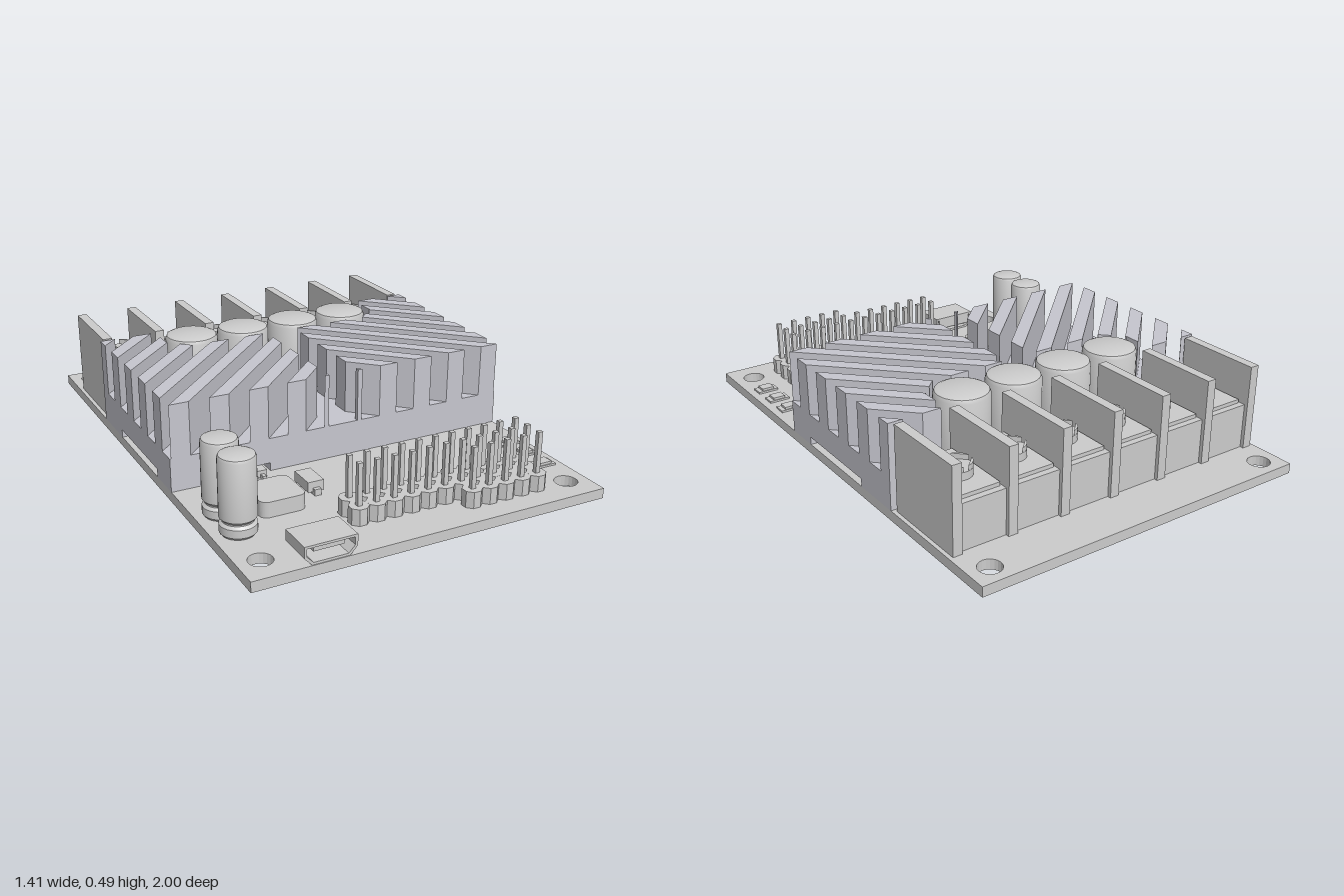
import * as THREE from 'three';
import { toCreasedNormals } from 'three/addons/utils/BufferGeometryUtils.js';

const grey = new THREE.MeshStandardMaterial({ color: 0xcccccc });
const alloy = new THREE.MeshStandardMaterial({ color: 0xc6c6ce });

export function createModel() {
  const root = new THREE.Group();
  const TOP = 0.14, UNDER = 0.10;

  const add = (name, geo, mat = grey, parent = root) => {
    const m = new THREE.Mesh(geo, mat);
    m.name = name;
    parent.add(m);
    return m;
  };
  const group = (name) => {
    const g = new THREE.Group();
    g.name = name;
    root.add(g);
    return g;
  };
  // Box given by its min and max on each axis
  const box = (name, x0, x1, y0, y1, z0, z1, parent = root, mat = grey) =>
    add(name, new THREE.BoxGeometry(x1 - x0, y1 - y0, z1 - z0)
      .translate((x0 + x1) / 2, (y0 + y1) / 2, (z0 + z1) / 2), mat, parent);
  // Shape drawn in plan (shape y = -z), raised from y0 to y1
  const slab = (shape, y0, y1) =>
    new THREE.ExtrudeGeometry(shape, { depth: y1 - y0, bevelEnabled: false, curveSegments: 10 })
      .rotateX(-Math.PI / 2).translate(0, y0, 0);
  const plan = (pts) => new THREE.Shape(pts.map(([x, z]) => new THREE.Vector2(x, -z)));
  const lathe = (pts, x, z) => toCreasedNormals(
    new THREE.LatheGeometry(pts.map(([r, y]) => new THREE.Vector2(r, y)), 32), 0.6).translate(x, 0, z);

  // Circuit board with corner holes and heatsink holes
  const outline = plan([[-0.705, 1], [0.705, 1], [0.705, -1], [-0.705, -1]]);
  for (const s of [-1, 1])
    for (const [x, z, r] of [[0.62, -0.92, 0.044], [0.62, 0.89, 0.044], [0.59, -0.32, 0.034], [0.59, 0.22, 0.034]])
      outline.holes.push(new THREE.Path().absarc(s * x, -z, r, 0, Math.PI * 2));
  add('circuitBoard', slab(outline, UNDER, TOP));

  // Heatsink base, with a rounded bay for the large capacitors
  const sink = group('heatsink');
  const base = new THREE.Shape();
  base.moveTo(-0.705, -0.315);
  base.lineTo(0.705, -0.315);
  base.lineTo(0.705, 0.44);
  base.lineTo(0.473, 0.44);
  base.absarc(0.373, 0.33, 0.1, 0, -Math.PI / 2, true);
  base.absarc(-0.373, 0.33, 0.1, -Math.PI / 2, -Math.PI, true);
  base.lineTo(-0.473, 0.44);
  base.lineTo(-0.705, 0.44);
  add('heatsinkBase', slab(base, 0.172, 0.272), alloy, sink);
  for (const [x0, x1, z0, z1] of [[-0.705, -0.475, -0.44, -0.23], [0.475, 0.705, -0.44, -0.23],
    [-0.705, -0.51, 0.17, 0.315], [-0.31, 0.705, 0.17, 0.315]])
    box('heatsinkFoot', x0, x1, TOP, 0.173, z0, z1, sink, alloy);

  // Diagonal fins: each strip of constant x - z is clipped to the plan of one half
  const clip = (poly, d) => poly.flatMap((p, i) => {
    const q = poly[(i + 1) % poly.length], a = d(p), b = d(q), out = a >= 0 ? [p] : [];
    if (a * b < 0) {
      const t = a / (a - b);
      out.push([p[0] + (q[0] - p[0]) * t, p[1] + (q[1] - p[1]) * t]);
    }
    return out;
  });
  const areas = [
    [[0.473, -0.44], [0.705, -0.44], [0.705, 0.315], [0.473, 0.315]],
    [[0.062, -0.23], [0.473, -0.23], [0.473, 0.315], [0.062, 0.315]],
    [[0.473, -0.31], [0.473, -0.23], [0.393, -0.23]],
  ];
  for (let k = -4; k < 7; k++) {
    const u = 0.155 + k * 0.155;
    for (const area of areas) {
      const p = clip(clip(area, ([x, z]) => x - z - u), ([x, z]) => u + 0.076 - x + z);
      if (p.length < 3) continue;
      for (const s of [-1, 1])
        add('heatsinkFin', slab(plan(p.map(([x, z]) => [s * x, z])), 0.271, 0.48), alloy, sink);
    }
  }

  // Screw terminal block
  const block = group('terminalBlock');
  box('terminalBody', -0.68, 0.68, TOP, 0.32, -0.795, -0.465, block);
  for (let i = 0; i < 7; i++) {
    const x = (i - 3) * 0.2235;
    box('terminalWall', x - 0.019, x + 0.019, TOP, 0.48, -0.81, -0.455, block);
  }
  for (let i = 0; i < 6; i++) {
    const x = (i - 2.5) * 0.2235, z = -0.64;
    box('terminalPlate', x - 0.085, x + 0.085, 0.32, 0.335, -0.77, -0.48, block);
    add('screwHead', new THREE.CylinderGeometry(0.056, 0.056, 0.03, 24).translate(x, 0.35, z), grey, block);
    // Four raised quarters leave a cross slot
    for (let q = 0; q < 4; q++) {
      const s = new THREE.Shape();
      s.moveTo(0.009, 0.009);
      s.absarc(0, 0, 0.055, 0.17, Math.PI / 2 - 0.17);
      add('screwQuarter', slab(s, 0.364, 0.385).rotateY(q * Math.PI / 2).translate(x, 0, z), grey, block);
    }
    // Round-tipped solder tail
    const tail = new THREE.Shape();
    tail.moveTo(0.021, UNDER);
    tail.lineTo(-0.021, UNDER);
    tail.absarc(0, 0.021, 0.021, Math.PI, Math.PI * 2);
    add('terminalTail', new THREE.ExtrudeGeometry(tail, { depth: 0.02, bevelEnabled: false })
      .translate(x, 0, -0.738), grey, block);
  }

  // Capacitors: rounded cans, crimped near the foot
  const capacitor = (name, x, z, r, h, e) => {
    add(name, lathe([[0, TOP], [r - 0.008, TOP], [r, TOP + 0.01], [r, TOP + 0.04], [r - 0.01, TOP + 0.05],
      [r - 0.01, TOP + 0.055], [r, TOP + 0.066], [r, h - e], [r - e * 0.3, h - e * 0.3], [r - e, h], [0, h]], x, z));
    for (const s of [-1, 1])
      add('capacitorLead', new THREE.CylinderGeometry(0.007, 0.007, 0.045, 8)
        .translate(x + s * r * 0.45, 0.08, z));
  };
  for (const x of [-0.346, -0.116, 0.116, 0.346]) capacitor('largeCapacitor', x, -0.353, 0.107, 0.488, 0.02);
  for (const z of [0.543, 0.69]) capacitor('smallCapacitor', -0.608, z, 0.067, 0.435, 0.014);

  // Pin header: two long rows and one short row
  const header = group('pinHeader');
  for (let row = 0; row < 3; row++)
    for (let c = row === 2 ? 6 : 0; c < 11; c++) {
      const x = -0.213 + c * 0.0697, z = 0.742 + row * 0.07;
      add('headerCell', new THREE.CylinderGeometry(0.0377, 0.0377, 0.063, 8).toNonIndexed()
        .rotateY(Math.PI / 8).translate(x, 0.1725, z), grey, header).geometry.computeVertexNormals();
      box('headerPin', x - 0.009, x + 0.009, 0.055, 0.365, z - 0.009, z + 0.009, header);
    }

  // Inductor with rounded corners and end tabs
  const coil = new THREE.Shape();
  [[-0.3545, -0.505, 0], [-0.3545, -0.619, -1], [-0.4695, -0.619, -2], [-0.4695, -0.505, -3]].forEach(([x, y, k]) =>
    coil.absarc(x, y, 0.03, (k + 1) * Math.PI / 2, k * Math.PI / 2, true));
  add('inductor', slab(coil, TOP, 0.2));
  box('inductorTabs', -0.515, -0.309, TOP, 0.16, 0.55, 0.575);

  // Diode
  box('diode', -0.277, -0.213, 0.15, 0.19, 0.452, 0.56);
  box('diodeLeads', -0.258, -0.232, TOP, 0.165, 0.435, 0.577);

  // Regulator tucked under the heatsink edge
  box('regulator', -0.48, -0.345, TOP + 0.004, 0.172, 0.23, 0.36);
  for (let i = 0; i < 4; i++) {
    const x = -0.46 + i * 0.032;
    box('regulatorLead', x - 0.007, x + 0.007, TOP, 0.158, 0.355, 0.382);
  }

  // Data socket: hollow shell with sloped lower sides
  const shell = new THREE.Shape([[-0.07, 0], [0.07, 0], [0.098, 0.03], [0.098, 0.072], [-0.098, 0.072], [-0.098, 0.03]]
    .map(([x, y]) => new THREE.Vector2(x, y)));
  shell.holes.push(new THREE.Path([[-0.064, 0.009], [-0.088, 0.034], [-0.088, 0.063], [0.088, 0.063], [0.088, 0.034], [0.064, 0.009]]
    .map(([x, y]) => new THREE.Vector2(x, y))));
  add('dataSocket', new THREE.ExtrudeGeometry(shell, { depth: 0.135, bevelEnabled: false })
    .translate(-0.418, TOP, 0.862));
  box('socketBack', -0.5, -0.336, TOP + 0.02, 0.208, 0.864, 0.89);
  box('socketTongue', -0.475, -0.361, 0.178, 0.194, 0.88, 0.98);

  // Indicator lights
  for (const z of [0.517, 0.627, 0.737]) {
    box('indicatorBase', 0.588, 0.674, TOP, 0.148, z - 0.026, z + 0.026);
    box('indicatorLens', 0.606, 0.656, 0.148, 0.158, z - 0.022, z + 0.022);
  }

  // Chips on the underside, leads along the chosen sides
  const chip = (name, x, z, w, d, n, fourSided) => {
    const g = group(name);
    box('chipBody', x - w / 2, x + w / 2, 0.066, 0.094, z - d / 2, z + d / 2, g);
    for (let i = 0; i < n; i++)
      for (const s of [-1, 1]) {
        const t = (i + 0.5) / n - 0.5;
        add('chipLead', new THREE.BoxGeometry(w / n * 0.5, 0.02, 0.026)
          .translate(x + t * w * 0.95, 0.09, z + s * (d / 2 + 0.01)), grey, g);
        if (fourSided) add('chipLead', new THREE.BoxGeometry(0.026, 0.02, d / n * 0.5)
          .translate(x + s * (w / 2 + 0.01), 0.09, z + t * d * 0.95), grey, g);
      }
  };
  chip('controllerChip', 0.11, 0.44, 0.25, 0.25, 14, true);
  for (const s of [-1, 1]) {
    chip('driverChip', s * 0.385, -0.14, 0.2, 0.17, 10, false);
    chip('senseChip', s * 0.11, -0.14, 0.1, 0.13, 4, false);
  }
  return root;
}
